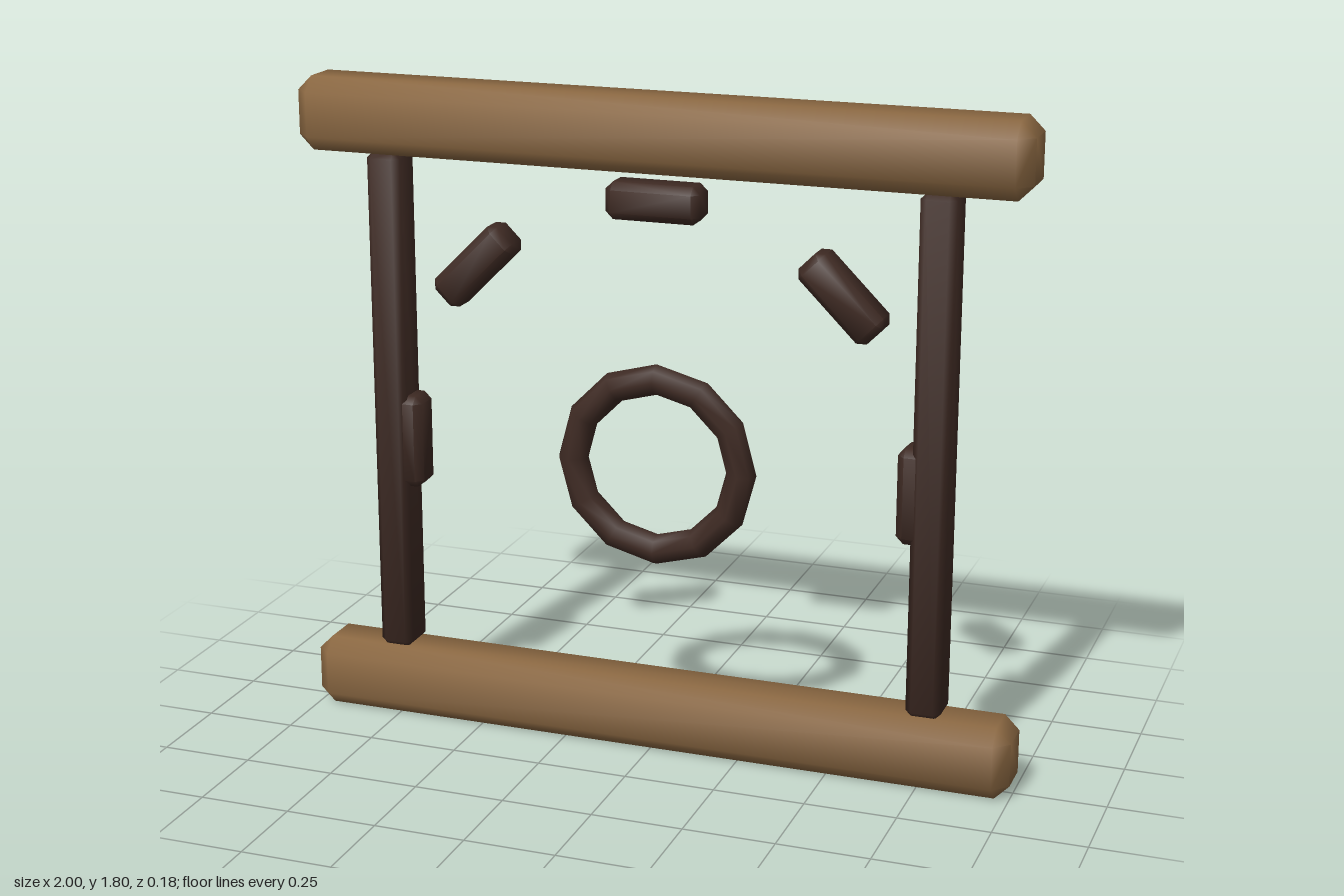
import * as THREE from 'three';
import { ConvexGeometry } from 'three/addons/geometries/ConvexGeometry.js';
import { toCreasedNormals } from 'three/addons/utils/BufferGeometryUtils.js';

const lightWood = new THREE.MeshStandardMaterial({ color: 0x8b6842 });
const darkWood = new THREE.MeshStandardMaterial({ color: 0x3e2a23 });

// Box with every edge cut at 45 degrees and softly shaded
function chamferBox(w, h, d, c) {
  const half = [w / 2, h / 2, d / 2];
  const points = [];
  for (let axis = 0; axis < 3; axis++) {
    for (const sx of [-1, 1]) for (const sy of [-1, 1]) for (const sz of [-1, 1]) {
      const p = [sx, sy, sz].map((s, i) => s * (half[i] - (i === axis ? 0 : c)));
      points.push(new THREE.Vector3(...p));
    }
  }
  return toCreasedNormals(new ConvexGeometry(points), Math.PI / 3);
}

export function createModel() {
  const model = new THREE.Group();
  model.name = 'ringFrame';

  const add = (name, geometry, material, x, y) => {
    const mesh = new THREE.Mesh(geometry, material);
    mesh.name = name;
    mesh.position.set(x, y, 0);
    model.add(mesh);
    return mesh;
  };

  // Heavy horizontal beams
  const beam = chamferBox(2, 0.2, 0.18, 0.04);
  add('bottomBeam', beam, lightWood, 0, 0.1);
  add('topBeam', beam, lightWood, 0, 1.7);

  // Upright posts
  const post = chamferBox(0.096, 1.41, 0.116, 0.018);
  add('leftPost', post, darkWood, 0.76, 0.9);
  add('rightPost', post, darkWood, -0.76, 0.9);

  // Central ring
  const centerY = 0.8;
  add('ring', new THREE.TorusGeometry(0.238, 0.042, 8, 12), darkWood, 0, centerY);

  // Blocks in a half circle around the ring
  const block = chamferBox(0.26, 0.1, 0.1, 0.02);
  const radius = 0.72;
  for (let i = 0; i < 5; i++) {
    const a = (i * Math.PI) / 4;
    const mesh = add(`arcBlock${i + 1}`, block, darkWood,
      radius * Math.cos(a), centerY + radius * Math.sin(a));
    mesh.rotation.z = a - Math.PI / 2;
  }

  return model;
}
